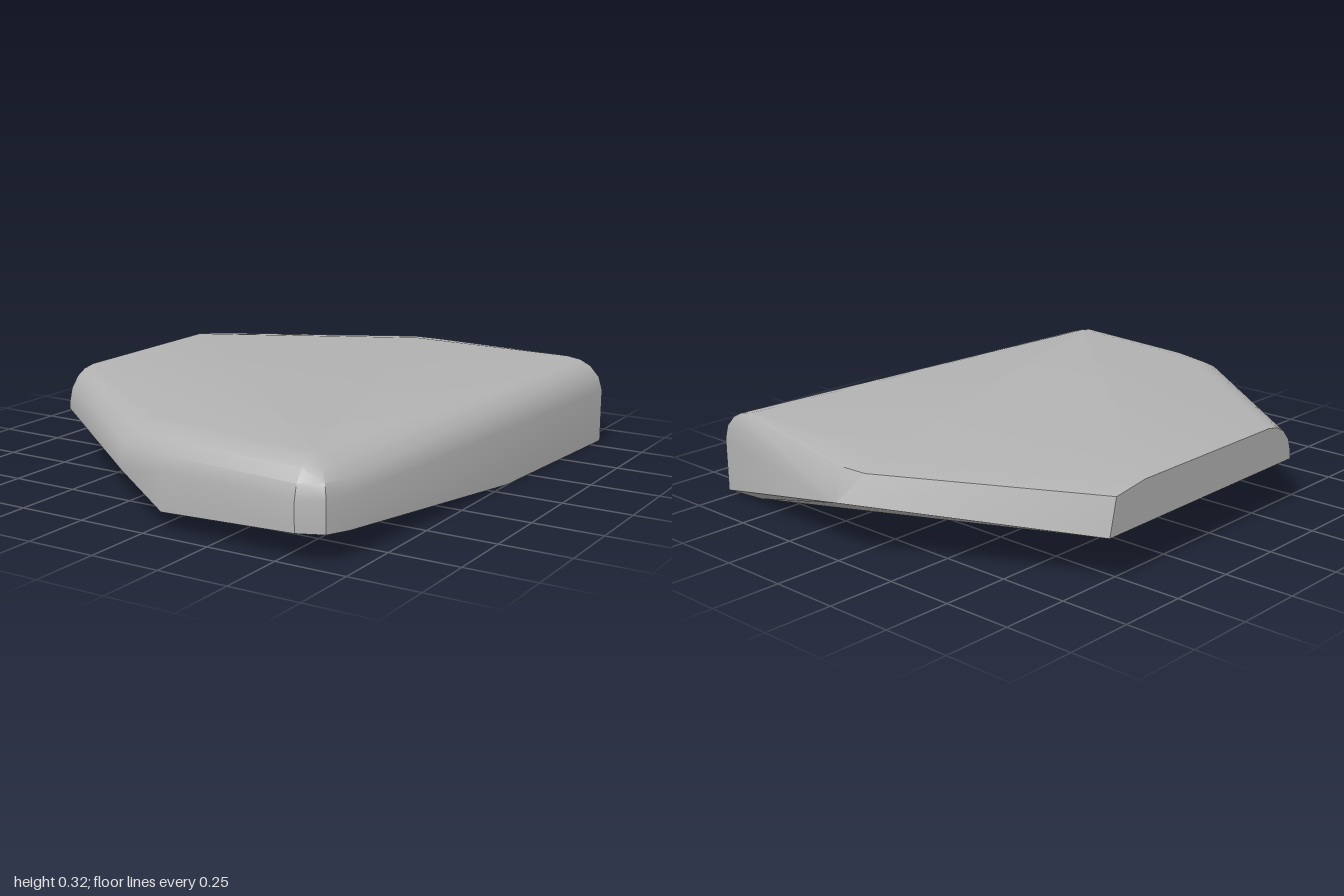
import * as THREE from 'three';
import { ConvexGeometry } from 'three/addons/geometries/ConvexGeometry.js';
import { toCreasedNormals } from 'three/addons/utils/BufferGeometryUtils.js';

export function createModel() {
  const stone = new THREE.MeshStandardMaterial({ color: 0xb2b2b2 });
  const points = [];
  const add = (x, y, z) => points.push(new THREE.Vector3(x, y, z));

  // Rounded rim along the right, front and left front: x, z, inward x, inward z, lower edge y
  const rim = [
    [0.8, -0.83, -1, 0.1, 0],
    [0.68, 0.86, -1, -0.1, 0.09],
    [0.65, 0.95, -0.75, -0.75, 0.095],
    [0.57, 1.0, -0.1, -1, 0.1],
    [0.04, 0.955, 0.1, -1, 0.065],
    [-0.16, 0.9, 0.5, -0.9, 0.16],
    [-0.8, 0.4, 0, -1, 0.175],
  ];
  // Shoulder profile: inset, height
  const shoulder = [[0, 0.2], [0.015, 0.25], [0.05, 0.29], [0.09, 0.311], [0.14, 0.32]];
  for (const [x, z, dx, dz, low] of rim) {
    add(x, low, z);
    for (const [inset, y] of shoulder) add(x + dx * inset, y, z + dz * inset);
  }

  // Chamfered back point and cut left end
  add(0, 0.2, -1);
  add(0.03, 0.3, -0.94);
  add(-0.07, 0.3, -0.935);
  add(0, 0.32, -0.82);
  add(0.72, 0.29, -0.8);
  add(-0.8, 0.17, -0.59);
  add(-0.8, 0.3, -0.56);
  add(-0.8, 0.32, -0.42);

  // Shallow keel of the underside
  add(0.75, 0, -0.1);
  add(0.64, 0, -0.81);
  add(0.28, 0, -0.3);

  const slab = new THREE.Mesh(toCreasedNormals(new ConvexGeometry(points), 0.55), stone);
  slab.name = 'stoneSlab';
  const group = new THREE.Group();
  group.name = 'flatRock';
  group.add(slab);
  return group;
}
